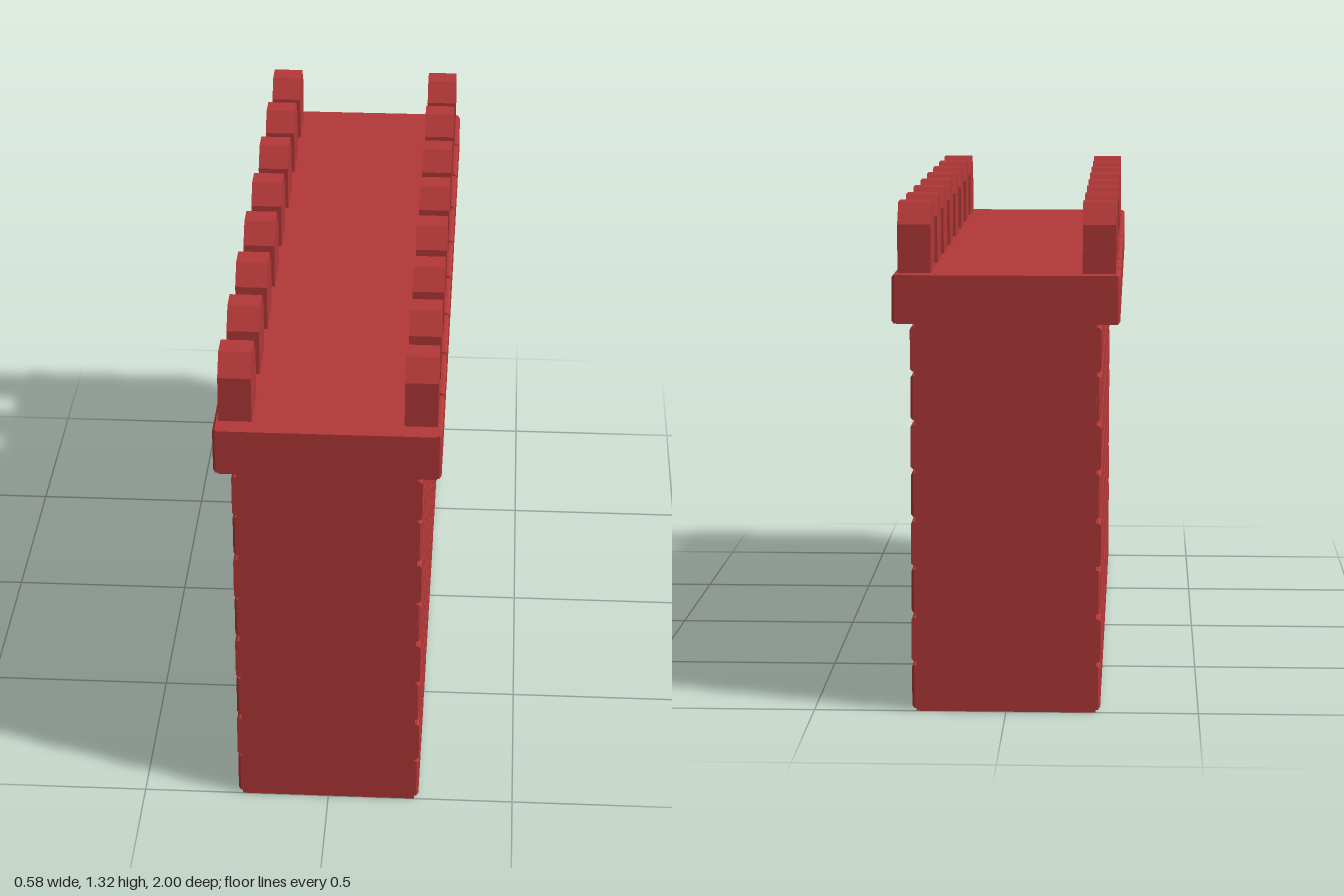
import * as THREE from 'three';
import { mergeGeometries } from 'three/addons/utils/BufferGeometryUtils.js';

const LENGTH = 2, BRICK = LENGTH / 9, GAP = 0.012, BEVEL = 0.006;

// One brick standing out from a wall face at x0 to x1, with a bevelled outer face.
// Ends that meet the wall end (cut bricks) stay square.
function brickGeometry(x0, x1, y0, y1, z0, z1) {
  const box = new THREE.BoxGeometry(x1 - x0, y1 - y0, z1 - z0, 2, 1, 1);
  box.translate((x0 + x1) / 2, (y0 + y1) / 2, (z0 + z1) / 2);
  const p = box.attributes.position;
  for (let i = 0; i < p.count; i++) {
    const x = p.getX(i), y = p.getY(i), z = p.getZ(i);
    if (x > x1 - 1e-4) {
      p.setY(i, y > (y0 + y1) / 2 ? y - BEVEL : y + BEVEL);
      if (Math.abs(z) < LENGTH / 2 - 1e-4) p.setZ(i, z > (z0 + z1) / 2 ? z - BEVEL : z + BEVEL);
    } else if (x > x0 + 1e-4) {
      p.setX(i, x1 - BEVEL);
    }
  }
  const flat = box.toNonIndexed();
  flat.computeVertexNormals();
  return flat;
}

// A course of bricks along z, shifted by half a brick when staggered
function courseGeometry(x0, x1, y0, y1, staggered) {
  const bricks = [];
  const half = LENGTH / 2;
  const count = staggered ? 10 : 9;
  const start = staggered ? -half - BRICK / 2 : -half;
  for (let i = 0; i < count; i++) {
    const a = start + i * BRICK + GAP / 2, b = a + BRICK - GAP;
    bricks.push(brickGeometry(x0, x1, y0, y1, Math.max(a, -half), Math.min(b, half)));
  }
  return mergeGeometries(bricks);
}

export function createModel() {
  const model = new THREE.Group();
  model.name = 'castleWall';
  const brickRed = new THREE.MeshStandardMaterial({ color: 0xb33838 });
  brickRed.name = 'brickRed';

  const add = (name, geometry, parent = model) => {
    const mesh = new THREE.Mesh(geometry, brickRed);
    mesh.name = name;
    parent.add(mesh);
    return mesh;
  };

  // Solid wall and the wider walkway on top
  add('wallCore', new THREE.BoxGeometry(0.466, 1.015, LENGTH)).position.y = 0.5075;
  add('walkway', new THREE.BoxGeometry(0.56, 0.125, LENGTH)).position.y = 1.0775;

  // Merlon outline in z and y, with sloped shoulders
  const outline = new THREE.Shape([
    [-0.072, 0], [0.072, 0], [0.072, 0.125], [0.031, 0.18], [-0.031, 0.18], [-0.072, 0.125],
  ].map(([z, y]) => new THREE.Vector2(z, y)));
  const merlon = new THREE.ExtrudeGeometry(outline, { depth: 0.085, bevelEnabled: false });
  merlon.rotateY(Math.PI / 2);

  // Each long side: eight wall courses, the walkway course and eight merlons
  for (const side of ['left', 'right']) {
    const face = new THREE.Group();
    face.name = side + 'Face';
    if (side === 'right') face.rotation.y = Math.PI;
    for (let row = 0; row < 8; row++) {
      const y = 0.006 + row * 0.1266;
      add('brickCourse', courseGeometry(0.233, 0.245, y, y + 0.115, row % 2 === 1), face);
    }
    add('walkwayCourse', courseGeometry(0.28, 0.292, 1.015, 1.14, false), face);
    for (let i = 0; i < 8; i++) {
      add('merlon', merlon, face).position.set(0.195, 1.14, -0.875 + i * 0.25);
    }
    model.add(face);
  }
  return model;
}
